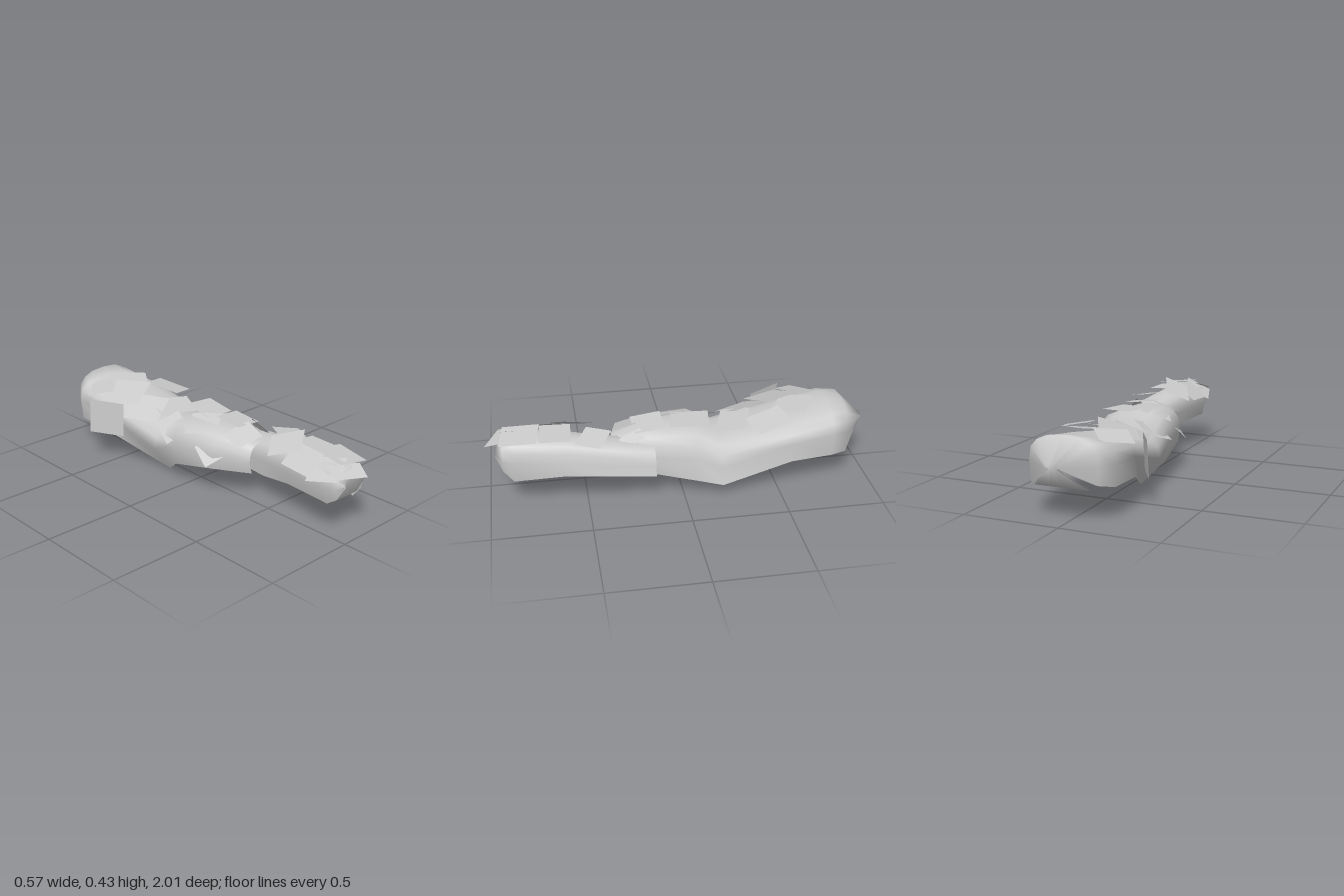
import * as THREE from 'three';

const material = new THREE.MeshStandardMaterial({ color: 0xcccccc, side: THREE.DoubleSide });

// Open-bottomed shell lofted through arched sections.
// Section: [z, xLow, xHigh, ySide, yTop, rimLowX, rimLowY, rimHighX, rimHighY]
function shell(name, sections) {
  const steps = 8, positions = [], index = [], count = steps + 3;
  for (const [z, x0, x1, ySide, yTop, ax, ay, bx, by] of sections) {
    positions.push(ax, ay, z);
    for (let k = 0; k <= steps; k++) {
      const t = (Math.PI * k) / steps, c = Math.cos(t);
      const x = (x0 + x1) / 2 - ((x1 - x0) / 2) * Math.sign(c) * Math.abs(c) ** 0.8;
      positions.push(x, ySide + (yTop - ySide) * Math.max(0, Math.sin(t)) ** 0.75, z);
    }
    positions.push(bx, by, z);
  }
  for (let i = 0; i < sections.length - 1; i++) {
    for (let j = 0; j < count - 1; j++) {
      const a = i * count + j, c = a + count;
      index.push(a, c, a + 1, a + 1, c, c + 1);
    }
  }
  const geometry = new THREE.BufferGeometry();
  geometry.setAttribute('position', new THREE.Float32BufferAttribute(positions, 3));
  geometry.setIndex(index);
  geometry.computeVertexNormals();
  const mesh = new THREE.Mesh(geometry, material);
  mesh.name = name;
  return mesh;
}

// Thin square flake: centre, size, spin in degrees and facing direction
function flake([x, y, z, w, d, spin, nx, ny, nz]) {
  const mesh = new THREE.Mesh(new THREE.PlaneGeometry(w, d).rotateX(-Math.PI / 2), material);
  const up = new THREE.Vector3(0, 1, 0);
  mesh.quaternion
    .setFromUnitVectors(up, new THREE.Vector3(nx, ny, nz).normalize())
    .multiply(new THREE.Quaternion().setFromAxisAngle(up, THREE.MathUtils.degToRad(spin)));
  mesh.position.set(x, y, z);
  mesh.name = 'barkFlake';
  return mesh;
}

export function createModel() {
  const group = new THREE.Group();
  group.name = 'hollowLog';

  // Large rear shell, closed at the back, with a pinched waist
  group.add(shell('rearShell', [
    [-0.86, -0.08, 0.19, 0.145, 0.145, -0.09, 0.15, 0.2, 0.15],
    [-1.0, -0.01, 0.06, 0.275, 0.285, 0.0, 0.27, 0.04, 0.27],
    [-0.88, -0.15, 0.21, 0.27, 0.4, -0.14, 0.18, 0.2, 0.15],
    [-0.8, -0.2, 0.23, 0.27, 0.385, -0.19, 0.16, 0.22, 0.145],
    [-0.57, -0.19, 0.26, 0.25, 0.345, -0.19, 0.15, 0.26, 0.15],
    [-0.2, -0.16, 0.265, 0.15, 0.28, -0.05, 0.0, 0.29, 0.06],
    [-0.06, -0.15, 0.25, 0.21, 0.355, -0.13, 0.1, 0.27, 0.09],
    [0.2, -0.11, 0.22, 0.22, 0.35, -0.1, 0.15, 0.21, 0.13],
    [0.36, 0.0, 0.18, 0.2, 0.3, 0.02, 0.14, 0.17, 0.14],
  ]));

  // Slimmer front shell, closed at the front
  group.add(shell('frontShell', [
    [0.15, 0.06, 0.275, 0.2, 0.29, 0.06, 0.15, 0.29, 0.15],
    [0.4, 0.05, 0.265, 0.22, 0.32, 0.06, 0.13, 0.275, 0.165],
    [0.6, 0.015, 0.24, 0.24, 0.345, 0.03, 0.165, 0.255, 0.175],
    [0.87, -0.01, 0.22, 0.25, 0.36, 0.01, 0.165, 0.205, 0.14],
    [0.92, 0.0, 0.21, 0.26, 0.345, 0.02, 0.2, 0.2, 0.2],
    [0.955, 0.03, 0.18, 0.28, 0.31, 0.04, 0.27, 0.17, 0.27],
    [0.9, 0.02, 0.2, 0.18, 0.18, 0.02, 0.18, 0.2, 0.18],
  ]));

  // Loose flakes scattered over the rear of the rear shell
  const rearFlakes = [
    [-0.13, 0.37, -0.68, 0.17, 0.15, 40, -0.25, 1, -0.1],
    [0.04, 0.38, -0.62, 0.17, 0.19, -32, 0, 1, 0.2],
    [-0.225, 0.25, -0.53, 0.19, 0.2, 28, -0.87, 0.05, 0.49],
    [-0.08, 0.37, -0.53, 0.2, 0.22, 28, -0.3, 1, 0.1],
    [0.17, 0.36, -0.46, 0.15, 0.2, 18, 0.2, 1, 0.1],
    [0.06, 0.32, -0.29, 0.22, 0.16, -20, 0, 1, 0.2],
    [-0.08, 0.32, -0.36, 0.19, 0.2, 25, -0.4, 1, 0.2],
  ];
  // Flakes over the front hump of the rear shell
  const humpFlakes = [
    [-0.09, 0.28, -0.13, 0.14, 0.18, -25, -0.6, 1, 0.1],
    [0.1, 0.365, -0.05, 0.16, 0.2, -8, 0, 1, 0.05],
    [-0.03, 0.34, 0.05, 0.16, 0.17, 28, -0.4, 1, 0.05],
    [0.1, 0.365, 0.17, 0.16, 0.16, 3, 0.1, 1, 0.1],
    [0.03, 0.33, 0.28, 0.16, 0.13, -10, -0.3, 1, 0.3],
    [-0.085, 0.25, 0.18, 0.16, 0.13, -25, -0.9, 0.8, 0.4],
    [0.18, 0.32, 0.26, 0.06, 0.12, 20, 0.9, 0.5, 0.1],
  ];
  // Flakes along the front shell
  const frontFlakes = [
    [0.19, 0.35, 0.46, 0.15, 0.14, -28, 0.15, 1, 0.1],
    [0.14, 0.365, 0.65, 0.17, 0.16, -3, 0.05, 1, 0],
    [0.05, 0.37, 0.56, 0.14, 0.18, 30, -0.6, 1, -0.1],
    [0.015, 0.34, 0.7, 0.14, 0.18, -4, -0.8, 1, 0],
    [0.14, 0.37, 0.83, 0.17, 0.19, -8, 0.1, 1, 0.1],
    [0.025, 0.33, 0.84, 0.15, 0.17, 20, -0.6, 1, 0],
    [0.075, 0.335, 0.93, 0.17, 0.1, -25, -0.1, 1, 0.35],
  ];
  const sets = { rearFlakes, humpFlakes, frontFlakes };
  for (const [name, list] of Object.entries(sets)) {
    const set = new THREE.Group();
    set.name = name;
    list.forEach((f) => set.add(flake(f)));
    group.add(set);
  }
  return group;
}
